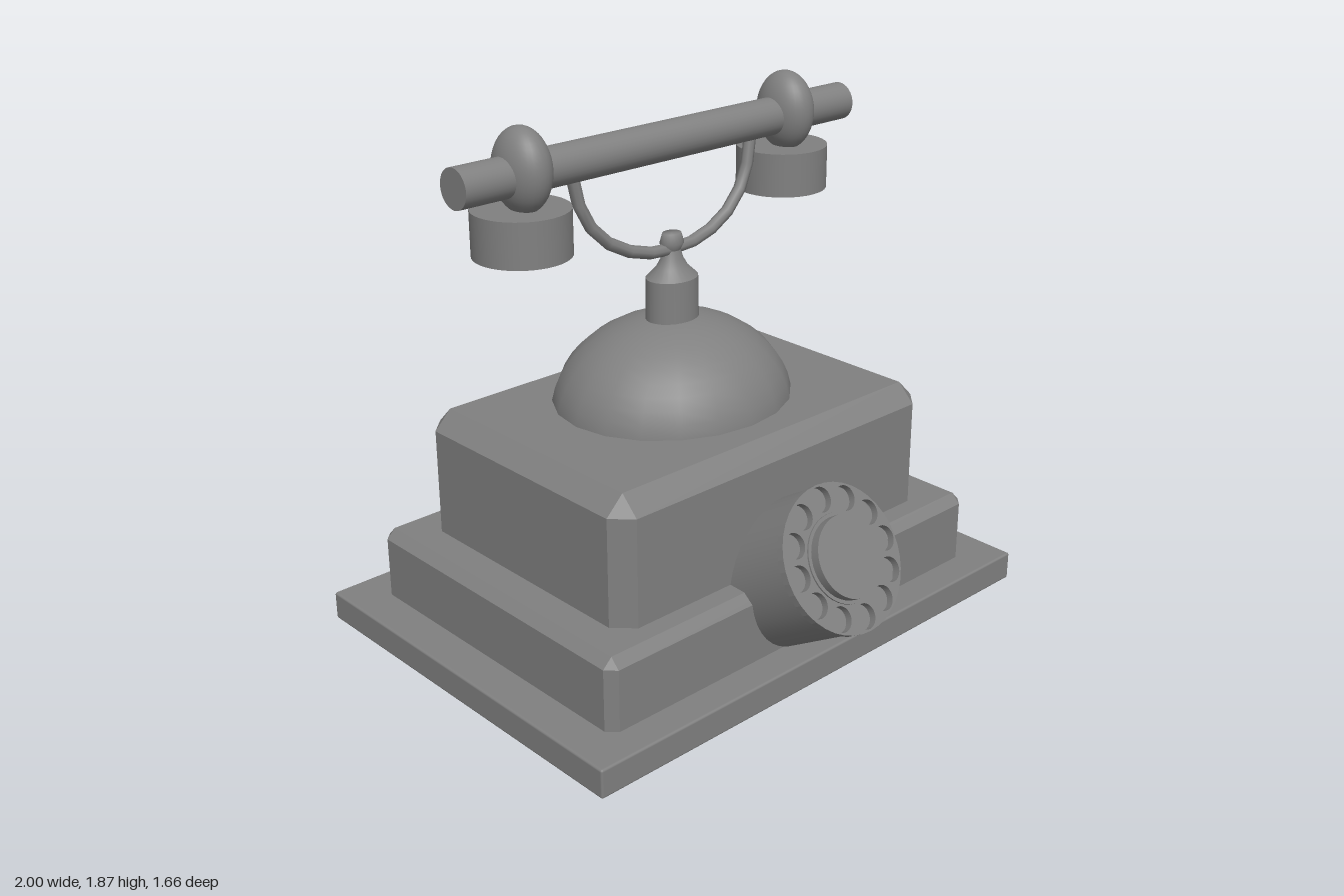
import * as THREE from 'three';
import { ConvexGeometry } from 'three/addons/geometries/ConvexGeometry.js';
import { RoundedBoxGeometry } from 'three/addons/geometries/RoundedBoxGeometry.js';

const material = new THREE.MeshStandardMaterial({ color: 0x808080, side: THREE.DoubleSide });

function part(parent, name, geometry, x = 0, y = 0, z = 0) {
  const mesh = new THREE.Mesh(geometry, material);
  mesh.name = name;
  mesh.position.set(x, y, z);
  parent.add(mesh);
  return mesh;
}

// Box with chamfered upright and top edges
function chamferedBox(halfX, y0, y1, zBack, zFront, b) {
  const points = [];
  const zc = (zBack + zFront) / 2, halfZ = (zFront - zBack) / 2;
  for (const sx of [-1, 1]) for (const sz of [-1, 1]) {
    const add = (x, y, z) => points.push(new THREE.Vector3(sx * x, y, zc + sz * z));
    for (const y of [y0, y1 - b]) {
      add(halfX, y, halfZ - b);
      add(halfX - b, y, halfZ);
    }
    add(halfX - b, y1, halfZ - b);
  }
  return new ConvexGeometry(points);
}

// Cylinder whose axis runs along z, from z0 to z1
function disc(radius, z0, z1) {
  return new THREE.CylinderGeometry(radius, radius, z1 - z0, 40)
    .rotateX(Math.PI / 2).translate(0, 0, (z0 + z1) / 2);
}

function buildDial() {
  const dial = new THREE.Group();
  dial.name = 'dial';
  part(dial, 'dialBody', disc(0.247, -0.52, -0.033));

  // Finger plate with a ring of holes
  const plate = new THREE.Shape().absarc(0, 0, 0.253, 0, Math.PI * 2);
  const holes = 12;
  for (let i = 0; i < holes; i++) {
    const a = (i / holes) * Math.PI * 2;
    plate.holes.push(new THREE.Path().absarc(0.203 * Math.cos(a), 0.203 * Math.sin(a), 0.043, 0, Math.PI * 2, true));
  }
  part(dial, 'fingerPlate', new THREE.ExtrudeGeometry(plate, { depth: 0.027, bevelEnabled: false, curveSegments: 20 }), 0, 0, -0.027);
  part(dial, 'dialStep', disc(0.152, -0.034, 0.006));
  part(dial, 'dialCentre', disc(0.14, 0, 0.04));

  dial.position.set(-0.005, 0.485, 0.7);
  dial.rotation.x = -0.545;
  return dial;
}

function buildHandset() {
  const handset = new THREE.Group();
  handset.name = 'handset';
  part(handset, 'handle', new THREE.CylinderGeometry(0.067, 0.067, 1.72, 32).rotateZ(Math.PI / 2), 0, 1.717, -0.157);
  for (const [side, x] of [['right', -0.602], ['left', 0.573]]) {
    part(handset, side + 'Collar', new THREE.SphereGeometry(1, 32, 20).scale(0.085, 0.141, 0.116), x, 1.73, -0.153);
    part(handset, side + 'Earpiece', new THREE.CylinderGeometry(0.163, 0.163, 0.155, 40), x, 1.528, -0.167);
  }
  return handset;
}

export function createModel() {
  const model = new THREE.Group();
  model.name = 'telephone';

  // Stepped body
  part(model, 'basePlate', new RoundedBoxGeometry(2, 0.104, 1.477, 2, 0.008), 0, 0.06, -0.0935);
  part(model, 'lowerBody', chamferedBox(0.86, 0.1, 0.367, -0.712, 0.528, 0.034));
  part(model, 'upperBody', chamferedBox(0.72, 0.35, 0.817, -0.61, 0.425, 0.066));
  model.add(buildDial());

  // Dome and neck, slightly narrower front to back
  part(model, 'dome', new THREE.SphereGeometry(1, 20, 12, 0, Math.PI * 2, 0, Math.PI / 2).scale(0.442, 0.335, 0.4), 0, 0.778, -0.125);
  const profiles = {
    neck: [[0.101, 1.07], [0.098, 1.25]],
    neckFlare: [[0.098, 1.25], [0.06, 1.285], [0.042, 1.315], [0.032, 1.345]],
    knob: [[0.032, 1.345], [0.046, 1.37], [0.035, 1.405], [0, 1.405]],
  };
  for (const [name, profile] of Object.entries(profiles)) {
    const points = profile.map(([r, y]) => new THREE.Vector2(r, y));
    part(model, name, new THREE.LatheGeometry(points, 24).scale(1, 1, 0.83), 0, 0, -0.125);
  }

  // Curved cradle under the handset, built from straight segments
  const half = [[0.4, 1.665, -0.155], [0.37, 1.54, -0.148], [0.3, 1.445, -0.138], [0.2, 1.383, -0.13], [0.1, 1.353, -0.126]];
  const path = [
    ...half.map(([x, y, z]) => new THREE.Vector3(-x, y, z)),
    new THREE.Vector3(0, 1.347, -0.125),
    ...half.map(([x, y, z]) => new THREE.Vector3(x, y, z)).reverse(),
  ];
  part(model, 'cradle', new THREE.TubeGeometry(new THREE.CatmullRomCurve3(path), 12, 0.022, 8));

  model.add(buildHandset());
  return model;
}
